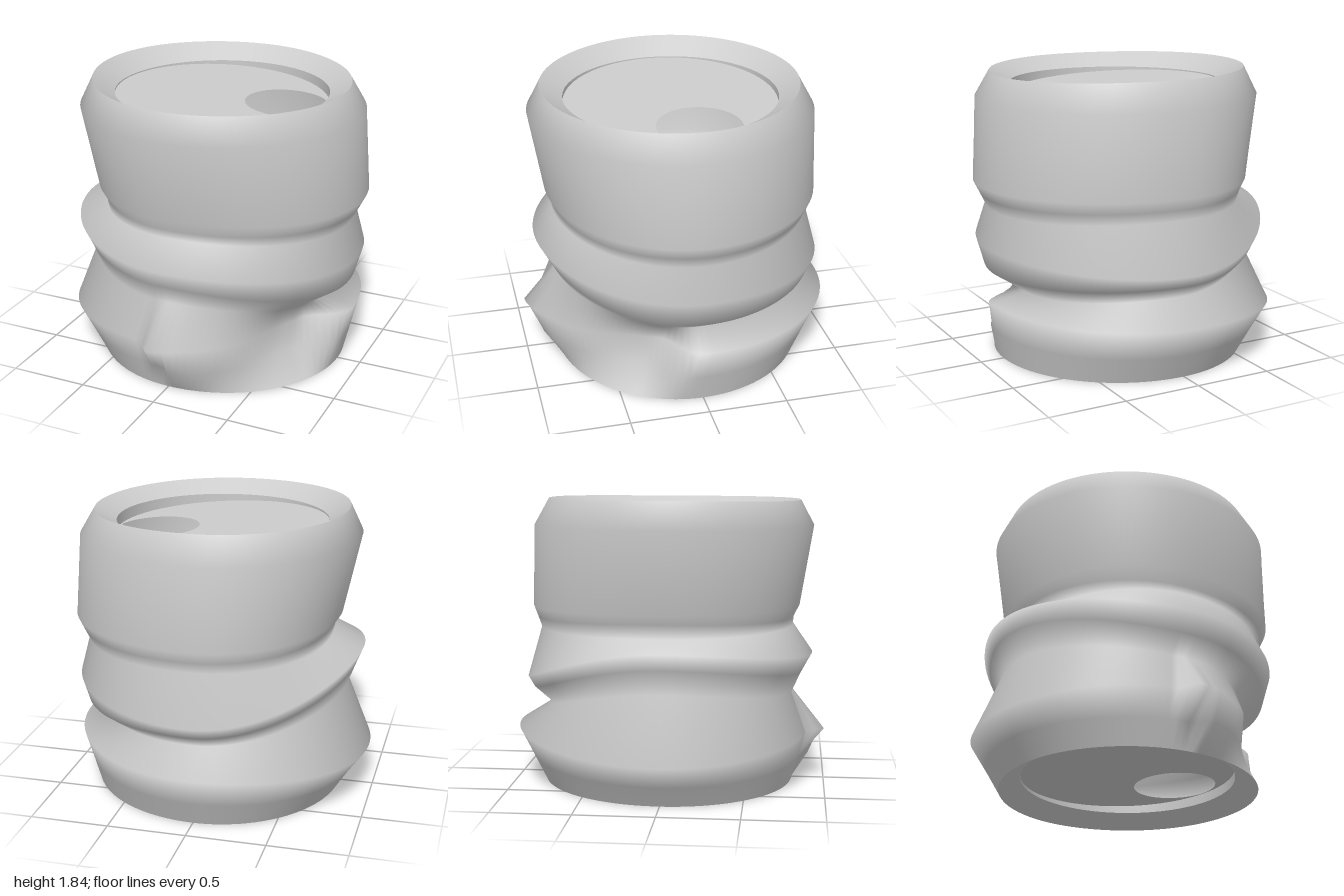
import * as THREE from 'three';

const COLS = 120;
const { lerp, smoothstep, degToRad } = THREE.MathUtils;

// Each ring of the wall: radius and height at +x, +z, -x, -z.
// dent hollows the front-left quarter, flap lifts the torn fold at the front,
// slant moves the edges of both for rings below the fold.
const ring = (r, y, dent = 0, flap = 0, slant = 0) => ({ r, y, dent, flap, slant });
const rings = [
  ring([0.845, 0.79, 0.78, 0.83], [0, 0, 0, 0]), // bottom rim
  ring([0.885, 0.84, 0.87, 0.91], [0.18, 0.16, 0.14, 0.17], 0.16, 0.06, 7), // lower flank
  ring([0.93, 0.89, 0.97, 1.0], [0.38, 0.34, 0.28, 0.36], 0.21, 0.11), // lower fold
  ring([0.69, 0.79, 0.81, 0.78], [0.43, 0.59, 0.69, 0.5]), // lower crease
  ring([0.9, 0.85, 0.87, 0.9], [0.57, 0.72, 0.85, 0.6]), // under the upper fold
  ring([0.945, 0.915, 0.91, 0.94], [0.74, 0.84, 0.95, 0.67]), // upper fold
  ring([0.885, 0.79, 0.7, 0.85], [0.97, 1.02, 1.01, 1.0]), // upper crease
  ring([0.925, 0.79, 0.72, 0.875], [1.05, 1.07, 1.1, 1.07]),
  ring([0.965, 0.83, 0.76, 0.9], [1.13, 1.15, 1.16, 1.14]), // foot of the upper wall
  ring([0.925, 0.915, 0.87, 0.885], [1.65, 1.66, 1.67, 1.66]), // shoulder
  ring([0.83, 0.83, 0.79, 0.79], [1.81, 1.82, 1.84, 1.83]), // top rim
];

// Eased blend between the four quarter values, plus the dent and the flap
function ringPoint({ r, y, dent, flap, slant }, deg) {
  const i = Math.floor(deg / 90), k = (i + 1) % 4;
  const t = smoothstep(deg / 90 - i, 0, 1);
  const seam = 94 - slant;
  const hollow = smoothstep(deg, slant, slant + 20) * (1 - smoothstep(deg, 30, 78));
  const lift = smoothstep(deg, seam - 24, seam) * (1 - smoothstep(deg, seam, seam + 4));
  const radius = lerp(r[i], r[k], t) - dent * hollow + flap * lift;
  const angle = degToRad(deg);
  return [radius * Math.cos(angle), lerp(y[i], y[k], t), radius * Math.sin(angle)];
}

// Circle around [x, z] whose height is a function of x
const circle = ([cx, cz], r, height) => (deg) => {
  const x = cx + r * Math.cos(degToRad(deg));
  return [x, height(x), cz + r * Math.sin(degToRad(deg))];
};

// Skin a list of ring functions
function loft(rows) {
  const positions = [], index = [];
  for (const row of rows)
    for (let j = 0; j < COLS; j++) positions.push(...row((j * 360) / COLS));
  for (let i = 0; i < rows.length - 1; i++)
    for (let j = 0; j < COLS; j++) {
      const a = i * COLS + j, b = i * COLS + ((j + 1) % COLS);
      index.push(a, a + COLS, b, b, a + COLS, b + COLS);
    }
  const geometry = new THREE.BufferGeometry();
  geometry.setAttribute('position', new THREE.Float32BufferAttribute(positions, 3));
  geometry.setIndex(index);
  geometry.computeVertexNormals();
  return geometry;
}

// Tilted disc with an off-centre round hole; side is 1 to face up, -1 to face down
function piercedDisc(center, r, hole, holeR, height, side) {
  const shape = new THREE.Shape();
  shape.absarc(center[0], -side * center[1], r, 0, Math.PI * 2);
  const cut = new THREE.Path();
  cut.absarc(hole[0], -side * hole[1], holeR, 0, Math.PI * 2, true);
  shape.holes.push(cut);
  const geometry = new THREE.ShapeGeometry(shape, 48).rotateX((-side * Math.PI) / 2);
  const position = geometry.attributes.position;
  for (let i = 0; i < position.count; i++) position.setY(i, height(position.getX(i)));
  geometry.computeVertexNormals();
  return geometry;
}

export function createModel() {
  const group = new THREE.Group();
  const material = new THREE.MeshStandardMaterial({ color: 0xcccccc, side: THREE.DoubleSide });
  const add = (name, geometry) => {
    const mesh = new THREE.Mesh(geometry, material);
    mesh.name = name;
    group.add(mesh);
  };
  const lidR = 0.675, holeR = 0.264;
  const topCenter = [0.02, 0.015], baseCenter = [0.03, -0.02];
  const topHeight = (x) => 1.695 - 0.05 * x;
  const baseHeight = (x) => 0.12 + 0.04 * x;
  const rows = rings.map((data) => (deg) => ringPoint(data, deg));

  // crumpled hollow side wall
  add('crumpledBody', loft(rows));

  // sloped inner rims, each with a small step to its tilted disc
  const topLip = circle(topCenter, lidR, () => 1.735);
  const baseLip = circle(baseCenter, lidR, () => 0.085);
  add('topRim', loft([rows[rows.length - 1], topLip]));
  add('topStep', loft([topLip, circle(topCenter, lidR, topHeight)]));
  add('bottomRim', loft([baseLip, rows[0]]));
  add('bottomStep', loft([circle(baseCenter, lidR, baseHeight), baseLip]));

  // end discs, both with an opening
  add('topLid', piercedDisc(topCenter, lidR, [0.425, -0.07], holeR, topHeight, 1));
  add('bottomLid', piercedDisc(baseCenter, lidR, [0.425, -0.1], holeR, baseHeight, -1));
  return group;
}
